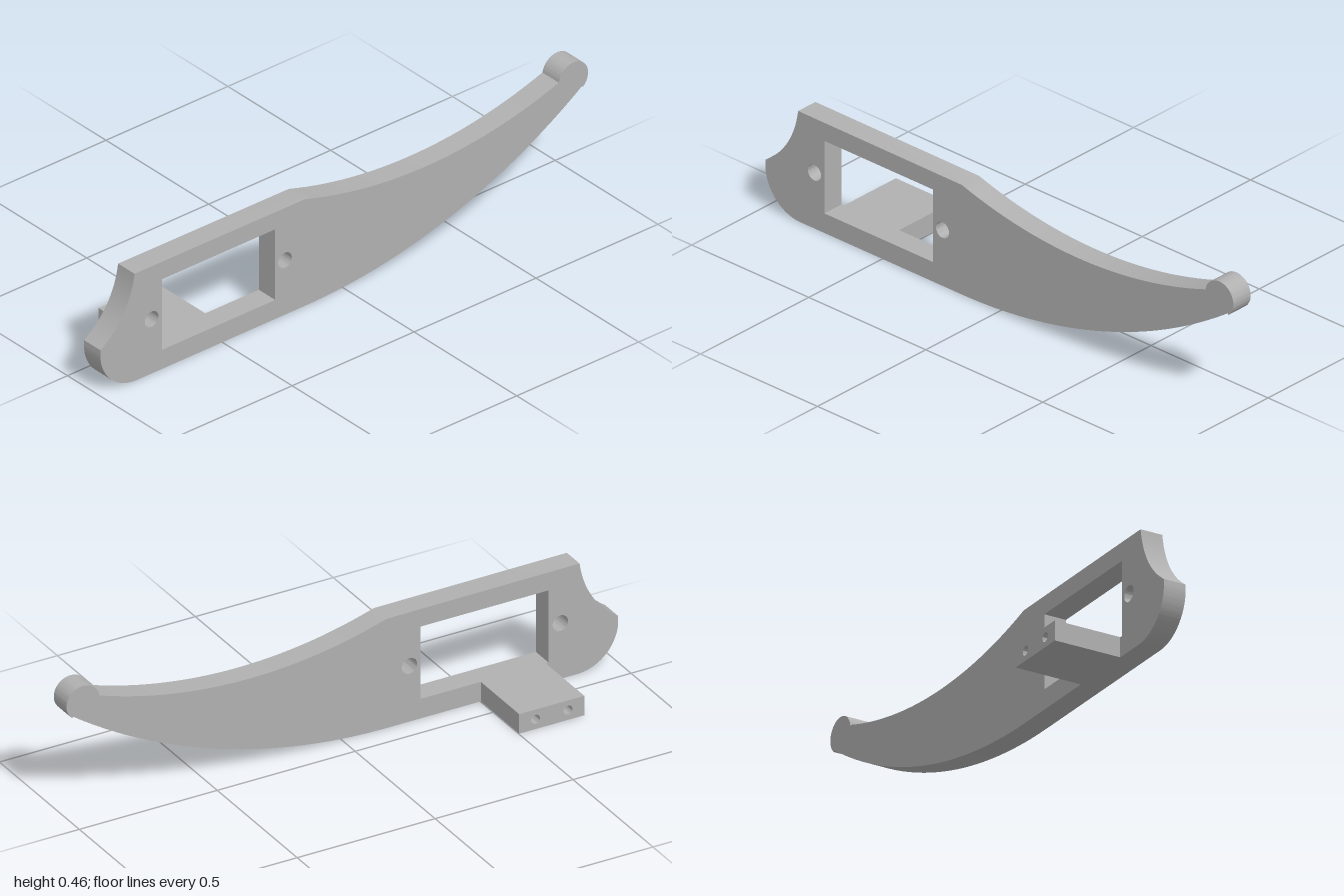
import * as THREE from 'three';
import { toCreasedNormals } from 'three/addons/utils/BufferGeometryUtils.js';

const BACK = 0.08, THICK = 0.08;      // plate position and thickness in z
const TAB_END = -0.16, BORE = 0.12;   // rear end of the tab and depth of its holes

function rectPath(target, x0, y0, x1, y1) {
  target.moveTo(x0, y0);
  target.lineTo(x1, y0);
  target.lineTo(x1, y1);
  target.lineTo(x0, y1);
  target.closePath();
  return target;
}

function roundHole(x, y, r) {
  return new THREE.Path().absarc(x, y, r, 0, Math.PI * 2, true);
}

// Points on a circular arc y = y0 + R - sqrt(R^2 - (x - cx)^2)
function sagArc(shape, cx, y0, R, xa, xb, n = 28) {
  for (let i = 0; i <= n; i++) {
    const x = xa + (xb - xa) * i / n;
    shape.lineTo(x, y0 + R - Math.sqrt(R * R - (x - cx) ** 2));
  }
}

function extrude(shape, depth, z) {
  const geo = new THREE.ExtrudeGeometry(shape, { depth, bevelEnabled: false, curveSegments: 20 });
  geo.translate(0, 0, z);
  return toCreasedNormals(geo, 0.5);
}

export function createModel() {
  const model = new THREE.Group();
  model.name = 'servoArm';
  const grey = new THREE.MeshStandardMaterial({ color: 0xb0b0b0 });
  grey.name = 'grey';

  const add = (name, geo) => {
    const mesh = new THREE.Mesh(geo, grey);
    mesh.name = name;
    model.add(mesh);
  };

  // Arm outline: straight base, swept underside, round tip, hollow top, scooped heel
  const outline = new THREE.Shape();
  outline.moveTo(-0.85, 0);
  sagArc(outline, -0.16, 0, 1.976, -0.16, 0.975);
  outline.absarc(0.94, 0.4, 0.06, -0.85, Math.PI, false);
  sagArc(outline, 0.335, 0.317, 1.66, 0.88, -0.16);
  outline.lineTo(-0.86, 0.395);
  outline.quadraticCurveTo(-0.88, 0.25, -0.999, 0.168);
  outline.absarc(-0.85, 0.15, 0.15, Math.PI, Math.PI * 1.5, false);

  // Motor window and its two screw holes
  outline.holes.push(
    rectPath(new THREE.Path(), -0.748, 0.07, -0.283, 0.33),
    roundHole(-0.79, 0.2, 0.028),
    roundHole(-0.243, 0.2, 0.028)
  );
  add('armPlate', extrude(outline, THICK, BACK));

  // Rear tab with two blind holes in its end face
  const tab = rectPath(new THREE.Shape(), -0.738, 0, -0.502, 0.07);
  for (const x of [-0.679, -0.561]) tab.holes.push(roundHole(x, 0.035, 0.016));
  add('tabEnd', extrude(tab, BORE, TAB_END));

  const rootDepth = BACK - TAB_END - BORE;
  const root = new THREE.BoxGeometry(0.236, 0.07, rootDepth);
  root.translate(-0.62, 0.035, BACK - rootDepth / 2);
  add('tabRoot', root);

  return model;
}
